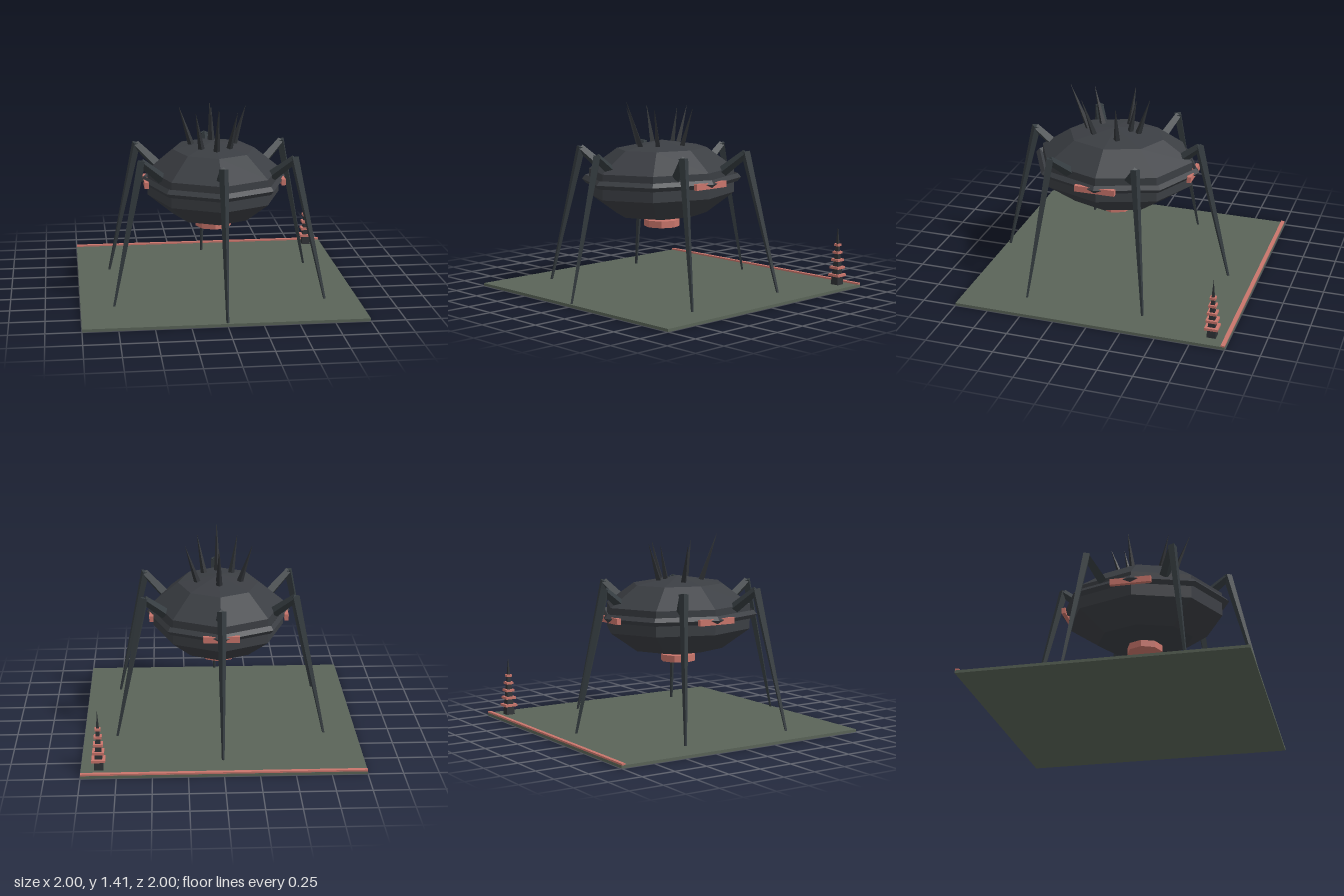
import * as THREE from 'three';

const material = (name, color) => Object.assign(new THREE.MeshStandardMaterial({ color }), { name });

export function createModel() {
  const model = new THREE.Group();
  model.name = 'walkerOnBase';
  const hull = material('hull charcoal', 0x3b3e43);
  const limbMat = material('limb slate', 0x343b3f);
  const spikeMat = material('spike dark grey', 0x2e3135);
  const coral = material('coral accent', 0xc9756b);
  const moss = material('moss ground', 0x5a6458);

  // Faceted mesh with flat face normals
  const add = (parent, name, geometry, mat, x = 0, y = 0, z = 0) => {
    const g = geometry.index ? geometry.toNonIndexed() : geometry;
    g.computeVertexNormals();
    const mesh = new THREE.Mesh(g, mat);
    mesh.name = name;
    mesh.position.set(x, y, z);
    parent.add(mesh);
    return mesh;
  };

  // Four-sided tapered rod from point a to point b
  const rod = (parent, name, a, b, ra, rb, mat) => {
    const from = new THREE.Vector3(...a), to = new THREE.Vector3(...b);
    const dir = to.clone().sub(from);
    const mid = from.add(to).multiplyScalar(0.5);
    const mesh = add(parent, name, new THREE.CylinderGeometry(rb, ra, dir.length(), 4), mat, mid.x, mid.y, mid.z);
    mesh.quaternion.setFromUnitVectors(new THREE.Vector3(0, 1, 0), dir.normalize());
    return mesh;
  };

  // Ground slab with a raised strip along the back edge
  add(model, 'ground', new THREE.BoxGeometry(2, 0.02, 2), moss, 0, 0.01, 0);
  add(model, 'backStrip', new THREE.BoxGeometry(2, 0.012, 0.028), coral, 0, 0.026, -0.985);

  // Walker, centred slightly forward
  const walker = new THREE.Group();
  walker.name = 'walker';
  walker.position.z = 0.1;
  model.add(walker);

  // Hull and its sharp waist rim
  const body = new THREE.SphereGeometry(1, 8, 5).scale(0.51, 0.3, 0.613);
  add(walker, 'hull', body, hull, 0, 0.815, 0);
  const rimProfile = [[0.955, 0], [1, -0.03], [1.045, 0], [1, 0.03], [0.955, 0]];
  const rim = new THREE.LatheGeometry(rimProfile.map(p => new THREE.Vector2(...p)), 8).scale(0.512, 1, 0.61);
  add(walker, 'waistRim', rim, hull, 0, 0.833, 0);

  // Accent blocks on the waist and the belly hatch
  for (const s of [-1, 1]) {
    add(walker, 'sideAccent', new THREE.BoxGeometry(0.03, 0.045, 0.3), coral, s * 0.5, 0.823, 0);
  }
  add(walker, 'rearAccent', new THREE.BoxGeometry(0.26, 0.045, 0.03), coral, 0, 0.823, -0.592);
  add(walker, 'bellyHatch', new THREE.CylinderGeometry(0.132, 0.132, 0.05, 8), coral, 0, 0.5, 0);

  // Six jointed legs around the hull
  for (let i = 0; i < 6; i++) {
    const leg = new THREE.Group();
    leg.name = 'leg';
    leg.rotation.y = i * Math.PI / 3;
    walker.add(leg);
    rod(leg, 'upperLeg', [0, 0.895, 0.46], [0, 1.035, 0.635], 0.04, 0.031, limbMat);
    rod(leg, 'lowerLeg', [0, 1.045, 0.63], [0, 0.018, 0.878], 0.034, 0.01, limbMat);
  }

  // Spines on the back: base x, base z, tip x, tip y, tip z
  const spines = [
    [0, 0.31, 0, 1.41, 0.45],
    [0.1, 0.235, 0.15, 1.355, 0.315],
    [0.155, 0.045, 0.245, 1.355, 0.025],
    [0, -0.005, 0, 1.34, -0.055],
    [0, -0.065, 0, 1.355, -0.157],
  ];
  for (const [bx, bz, tx, ty, tz] of spines) {
    for (const s of bx ? [-1, 1] : [1]) {
      rod(model, 'spine', [s * bx, 1.07, bz], [s * tx, ty, tz], 0.025, 0.001, spikeMat);
    }
  }

  // Small tiered tower in the back corner
  const tower = new THREE.Group();
  tower.name = 'tower';
  tower.position.set(0.875, 0.02, -0.88);
  model.add(tower);
  add(tower, 'towerCore', new THREE.ConeGeometry(0.047, 0.44, 4).rotateY(Math.PI / 4), spikeMat, 0, 0.22, 0);
  for (let i = 0; i < 5; i++) {
    const w = 0.096 - i * 0.0138;
    add(tower, 'towerTier', new THREE.BoxGeometry(w, 0.018, w), coral, 0, 0.072 + i * 0.057, 0);
  }

  return model;
}
